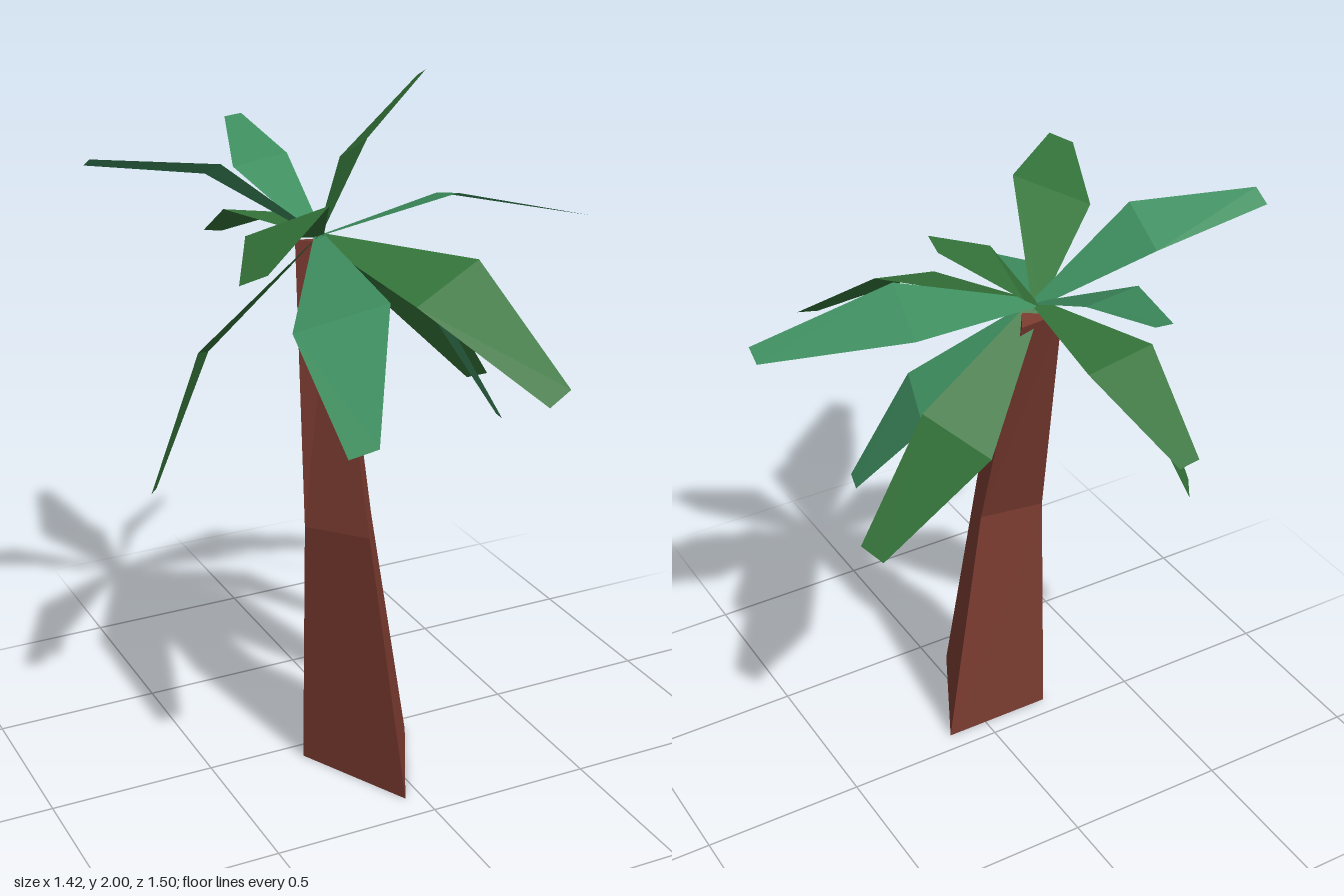
import * as THREE from 'three';

const BARK = 0x7a3b30, OLIVE = 0x34743a, TEAL = 0x3f8f60;

// Crown point where every frond is attached
const CROWN = new THREE.Vector3(-0.09, 1.6, -0.075);

// Trunk: triangular sections from the ground up (front, right, back-left corner)
const SECTIONS = [
  [[-0.05, 0, 0.41], [0.13, 0, 0.06], [-0.22, 0, 0.06]],
  [[-0.11, 0.81, 0.29], [-0.01, 0.79, 0.1], [-0.215, 0.78, 0.08]],
  [[-0.07, 1.59, -0.03], [-0.01, 1.57, -0.13], [-0.14, 1.58, -0.13]],
];

// Fronds: colour, the two widest points, then the two tip points on the same sides
const FRONDS = [
  [OLIVE, [-0.42, 1.71, 0.17], [-0.23, 1.8, 0.29], [-0.6, 1.71, 0.55], [-0.54, 1.74, 0.59]],
  [TEAL, [-0.35, 1.47, 0.31], [-0.11, 1.55, 0.41], [-0.385, 1.27, 0.72], [-0.31, 1.295, 0.745]],
  [OLIVE, [-0.01, 1.51, 0.37], [0.225, 1.59, 0.29], [0.225, 1.29, 0.685], [0.305, 1.32, 0.66]],
  [TEAL, [0.22, 1.37, 0.11], [0.28, 1.31, -0.09], [0.385, 1.045, 0.17], [0.4, 1.035, 0.11]],
  [TEAL, [0.29, 1.71, 0.05], [0.34, 1.65, -0.17], [0.7, 1.605, 0.1], [0.71, 1.59, 0.03]],
  [OLIVE, [0.31, 1.4, -0.14], [0.2, 1.32, -0.325], [0.525, 1.05, -0.165], [0.49, 1.02, -0.23]],
  [OLIVE, [0.09, 1.85, -0.13], [0.08, 1.76, -0.29], [0.34, 2, -0.25], [0.34, 1.975, -0.3]],
  [TEAL, [-0.04, 1.76, -0.4], [-0.23, 1.75, -0.36], [-0.07, 1.825, -0.67], [-0.125, 1.82, -0.67]],
  [OLIVE, [-0.035, 1.57, -0.43], [-0.235, 1.605, -0.43], [-0.11, 1.435, -0.755], [-0.17, 1.445, -0.755]],
  [TEAL, [-0.36, 1.77, -0.255], [-0.38, 1.84, -0.085], [-0.71, 1.83, -0.275], [-0.71, 1.86, -0.22]],
  [OLIVE, [-0.36, 1.23, -0.27], [-0.48, 1.32, -0.045], [-0.56, 0.855, -0.21], [-0.6, 0.87, -0.145]],
];

const quad = (a, b, c, d) => [a, b, c, a, c, d];

function facetedMesh(name, corners, color, side = THREE.FrontSide) {
  const geometry = new THREE.BufferGeometry();
  geometry.setAttribute('position', new THREE.Float32BufferAttribute(corners.flat(), 3));
  geometry.computeVertexNormals();
  const mesh = new THREE.Mesh(geometry,
    new THREE.MeshStandardMaterial({ color, flatShading: true, side }));
  mesh.name = name;
  return mesh;
}

function createTrunk() {
  const corners = [];
  for (let i = 0; i < SECTIONS.length - 1; i++) {
    const low = SECTIONS[i], high = SECTIONS[i + 1];
    for (let k = 0; k < 3; k++) {
      const n = (k + 1) % 3;
      corners.push(...quad(low[k], low[n], high[n], high[k]));
    }
  }
  // Ground cap and top cap
  corners.push(...[...SECTIONS[0]].reverse(), ...SECTIONS[SECTIONS.length - 1]);
  return facetedMesh('trunk', corners, BARK);
}

function createFrond([color, midA, midB, tipA, tipB]) {
  // Narrow stem end, aligned with the widest line of the frond
  const across = new THREE.Vector3(...midB).sub(new THREE.Vector3(...midA)).setLength(0.016);
  const stemA = CROWN.clone().sub(across).toArray();
  const stemB = CROWN.clone().add(across).toArray();
  return facetedMesh('frond',
    [...quad(stemA, midA, midB, stemB), ...quad(midA, tipA, tipB, midB)],
    color, THREE.DoubleSide);
}

export function createModel() {
  const model = new THREE.Group();
  model.name = 'palmTree';
  model.add(createTrunk());

  const crown = new THREE.Group();
  crown.name = 'crown';
  FRONDS.forEach((frond) => crown.add(createFrond(frond)));
  model.add(crown);
  return model;
}
